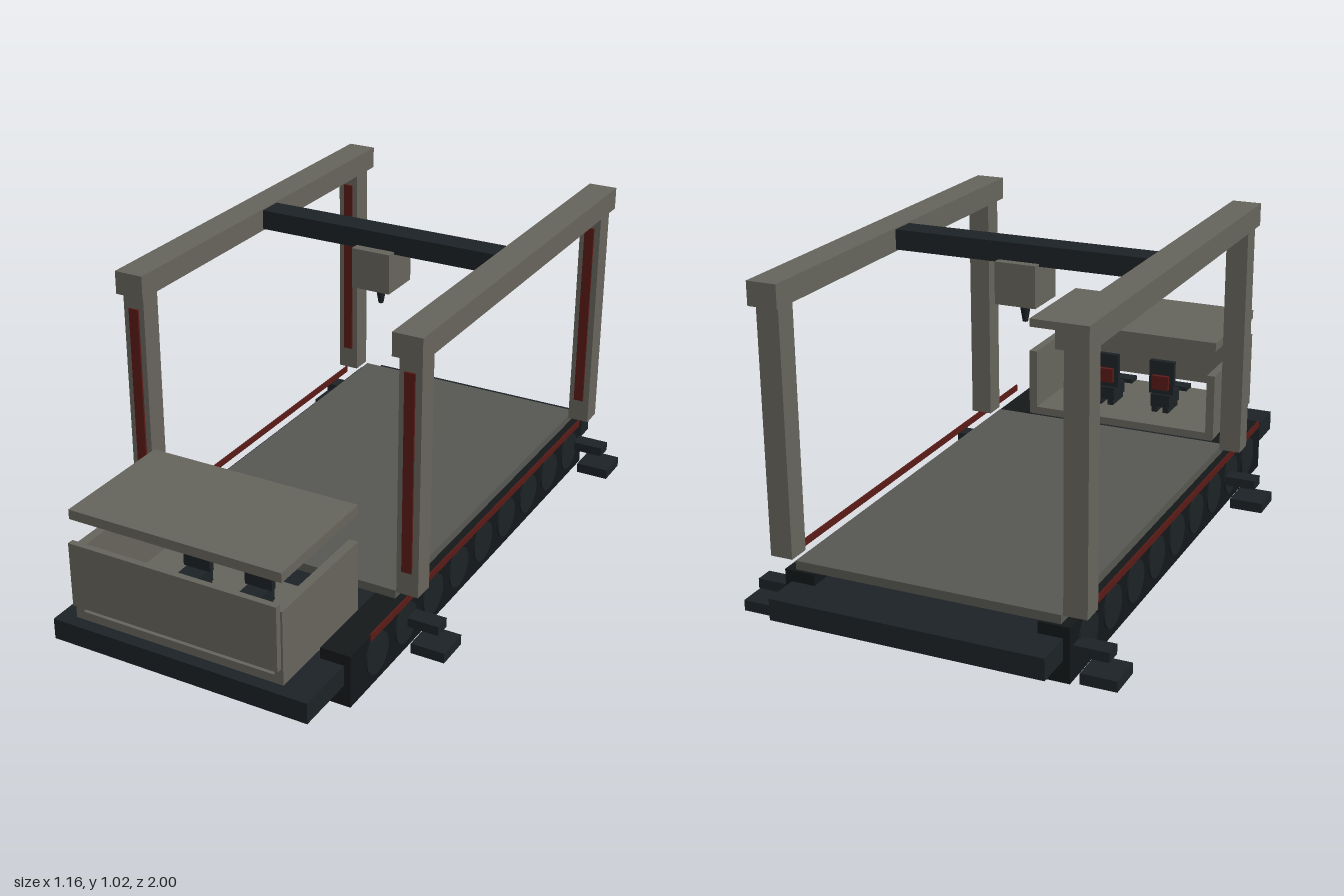
import * as THREE from 'three';

const mat = (color) => new THREE.MeshStandardMaterial({ color });

export function createModel() {
  const model = new THREE.Group();
  const grey = mat(0x66645c), deckGrey = mat(0x575752), dark = mat(0x1c2225);
  const black = mat(0x14181a), red = mat(0x5a1a16);

  const add = (name, geometry, material, x, y, z) => {
    const mesh = new THREE.Mesh(geometry, material);
    mesh.name = name;
    mesh.position.set(x, y, z);
    model.add(mesh);
    return mesh;
  };
  // Box given by its limits on each axis
  const box = (name, material, [x0, x1], [y0, y1], [z0, z1]) =>
    add(name, new THREE.BoxGeometry(Math.abs(x1 - x0), y1 - y0, z1 - z0), material,
      (x0 + x1) / 2, (y0 + y1) / 2, (z0 + z1) / 2);

  // Chassis and print bed
  box('chassis', dark, [-0.42, 0.42], [0.067, 0.133], [-1, 0.99]);
  box('deck', deckGrey, [-0.41, 0.41], [0.168, 0.195], [-0.87, 0.47]);

  const wheelGeometry = new THREE.CylinderGeometry(0.064, 0.064, 0.11, 24);
  wheelGeometry.rotateZ(Math.PI / 2);

  for (const s of [1, -1]) {
    // Crawler tracks with road wheels
    box('track', black, [s * 0.345, s * 0.44], [0, 0.168], [-0.88, 0.79]);
    for (let i = 0; i < 9; i++)
      add('wheel', wheelGeometry, dark, s * 0.391, 0.094, 0.64 - i * 0.175);
    box('sideRail', red, [s * 0.456, s * 0.461], [0.178, 0.2], [-0.8, 0.71]);

    // Gantry posts with light strips, and stabilisers beside them
    for (const [z0, z1] of [[0.41, 0.48], [-0.875, -0.803]]) {
      box('post', grey, [s * 0.418, s * 0.488], [0.198, 0.946], [z0, z1]);
      box('postStrip', red, [s * 0.436, s * 0.468], [0.275, 0.9], [z1, z1 + 0.006]);
      const z = z0 > 0 ? 0.433 : -0.833;
      box('stabiliserArm', dark, [s * 0.4, s * 0.545], [0.078, 0.108], [z - 0.028, z + 0.028]);
      box('stabiliserFoot', dark, [s * 0.472, s * 0.58], [0.012, 0.045], [z - 0.056, z + 0.056]);
    }
    box('topBeam', grey, [s * 0.405, s * 0.498], [0.945, 1.016], [-0.9, 0.5]);

    // Cabin side wall
    box('cabinWall', grey, [s * 0.314, s * 0.342], [0.158, 0.39], [0.57, 0.98]);

    // Operator seat and console
    const x = s * 0.104;
    for (const f of [-0.021, 0.021])
      box('seatFoot', dark, [x + f - 0.01, x + f + 0.01], [0.185, 0.205], [0.69, 0.79]);
    box('seatPan', dark, [x - 0.035, x + 0.035], [0.205, 0.25], [0.69, 0.79]);
    box('seatBack', dark, [x - 0.045, x + 0.045], [0.25, 0.37], [0.7, 0.72]);
    box('seatPad', red, [x - 0.03, x + 0.03], [0.27, 0.32], [0.685, 0.7]);
    box('console', dark, [x - 0.045, x + 0.045], [0.22, 0.235], [0.84, 0.89]);
  }

  // Open-backed cabin with a raised roof
  box('cabinFloor', grey, [-0.342, 0.342], [0.158, 0.184], [0.57, 0.98]);
  box('cabinFront', grey, [-0.336, 0.336], [0.21, 0.413], [0.98, 1]);
  box('cabinRoof', grey, [-0.342, 0.342], [0.478, 0.508], [0.57, 0.98]);

  // Travelling bridge, carriage and nozzle
  box('crossBeam', dark, [-0.405, 0.405], [0.95, 1.012], [-0.245, -0.16]);
  box('carriage', grey, [-0.065, 0.065], [0.829, 0.958], [-0.272, -0.128]);
  add('nozzle', new THREE.CylinderGeometry(0.019, 0.008, 0.065, 16), dark, 0, 0.797, -0.2);

  return model;
}
